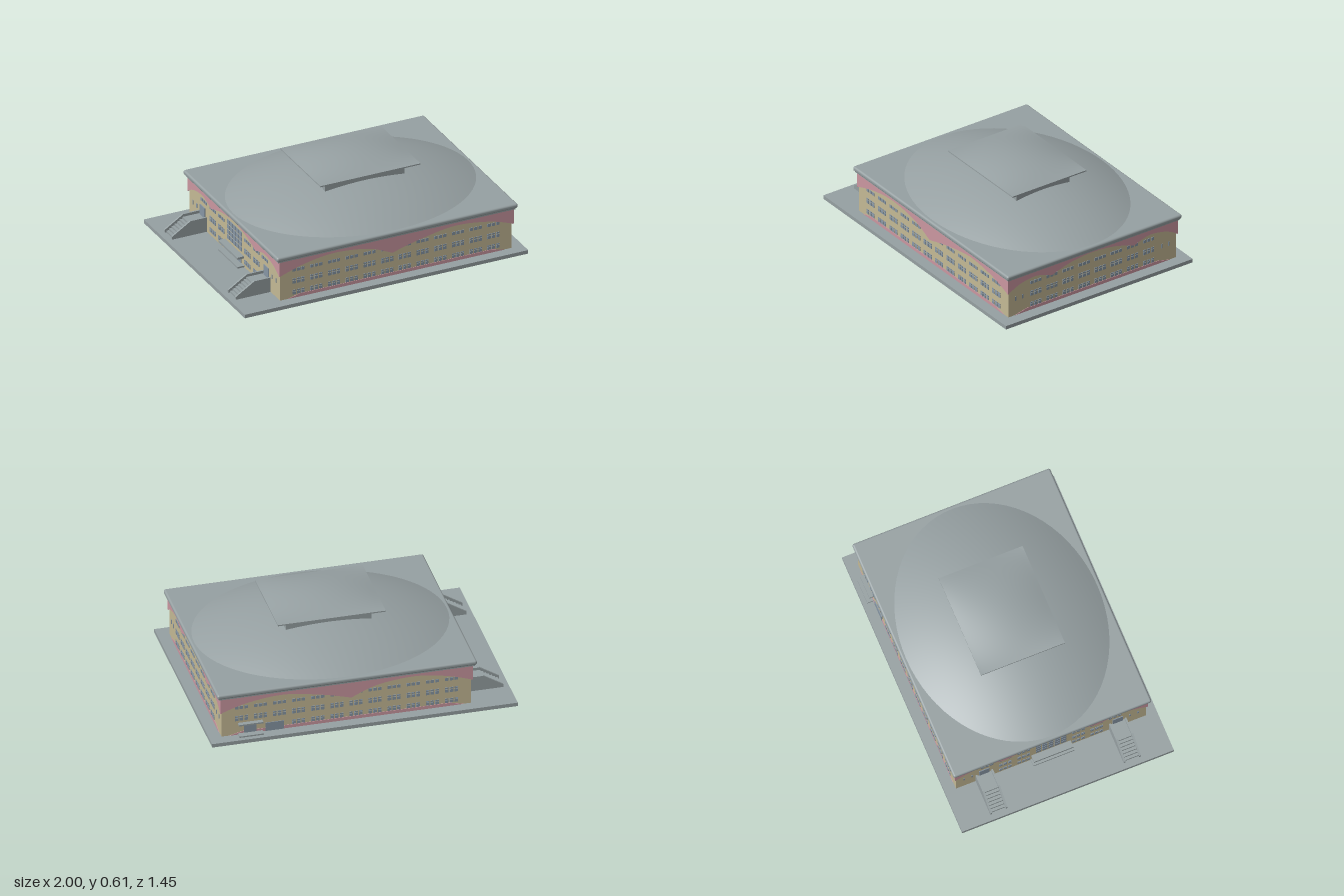
import * as THREE from 'three';
import { mergeGeometries } from 'three/addons/utils/BufferGeometryUtils.js';
import { RoundedBoxGeometry } from 'three/addons/geometries/RoundedBoxGeometry.js';

const CX = 0.1025; // building centre in x
const HX = 0.8175, HZ = 0.65; // half sizes of the walls
const GROUND = 0.025;

const material = (name, color) => {
  const m = new THREE.MeshStandardMaterial({ color });
  m.name = name;
  return m;
};

export function createModel() {
  const grey = material('grey', 0x96a0a2);
  const beige = material('beige', 0xc4b995);
  const pink = material('pink', 0xcb97a1);
  const glass = material('glass', 0x8796a4);

  const model = new THREE.Group();
  model.name = 'domedHall';

  const add = (parent, name, geometry, mat) => {
    const mesh = new THREE.Mesh(geometry, mat);
    mesh.name = name;
    parent.add(mesh);
    return mesh;
  };
  // Box given by its limits
  const box = (parent, name, mat, x0, x1, y0, y1, z0, z1) => {
    const g = new THREE.BoxGeometry(x1 - x0, y1 - y0, z1 - z0);
    g.translate((x0 + x1) / 2, (y0 + y1) / 2, (z0 + z1) / 2);
    return add(parent, name, g, mat);
  };

  // Ground slab and walls
  box(model, 'groundSlab', grey, -1, 1, 0, GROUND, -0.725, 0.725);
  box(model, 'walls', beige, CX - HX, CX + HX, GROUND, 0.305, -HZ, HZ);

  // Cornice and roof slab with rounded edge
  box(model, 'cornice', grey, -0.735, 0.94, 0.303, 0.316, -0.665, 0.665);
  const slab = add(model, 'roofSlab', new RoundedBoxGeometry(1.7, 0.032, 1.355, 3, 0.013), grey);
  slab.position.set(CX, 0.329, 0);

  // Shallow elliptical dome
  const profile = [];
  for (let i = 0; i <= 20; i++) {
    const r = 1 - i / 20;
    profile.push(new THREE.Vector2(r, 0.342 + 0.163 * (1 - r * r)));
  }
  const domeGeometry = new THREE.LatheGeometry(profile, 72);
  domeGeometry.scale(0.835, 1, 0.66);
  add(model, 'dome', domeGeometry, grey).position.x = CX;

  // Lantern on the dome with a gently bulging roof
  box(model, 'lantern', grey, CX - 0.28, CX + 0.28, 0.46, 0.56, -0.205, 0.205);
  box(model, 'lanternEaves', grey, CX - 0.353, CX + 0.353, 0.557, 0.565, -0.287, 0.287);
  const cap = new THREE.PlaneGeometry(0.706, 0.574, 20, 20);
  cap.rotateX(-Math.PI / 2);
  const p = cap.attributes.position;
  for (let i = 0; i < p.count; i++) {
    const u = p.getX(i) / 0.353, v = p.getZ(i) / 0.287;
    p.setY(i, 0.565 + 0.045 * (1 - u * u) * (1 - v * v));
  }
  cap.computeVertexNormals();
  add(model, 'lanternRoof', cap, grey).position.x = CX;

  // Wavy frieze lobes: lower edge points from left to right
  const longLobes = [
    [[-0.8275, 0.2], [-0.65, 0.255], [-0.44, 0.284], [-0.2, 0.258], [-0.03, 0.19]],
    [[-0.03, 0.19], [0.16, 0.24], [0.41, 0.28], [0.65, 0.255], [0.8275, 0.2]],
  ];
  const shortLobes = [
    [[-0.66, 0.2], [-0.57, 0.245], [-0.46, 0.265], [-0.39, 0.254], [-0.32, 0.228]],
    [[-0.32, 0.228], [-0.17, 0.273], [0, 0.29], [0.17, 0.273], [0.32, 0.228]],
    [[0.32, 0.228], [0.39, 0.254], [0.46, 0.265], [0.57, 0.245], [0.66, 0.2]],
  ];
  const mirrored = lobes => lobes.map(l => l.map(([u, y]) => [-u, y]).reverse()).reverse();

  const frieze = lobes => {
    const first = lobes[0][0], last = lobes[lobes.length - 1][4];
    const s = new THREE.Shape();
    s.moveTo(last[0], 0.304);
    s.lineTo(first[0], 0.304);
    s.lineTo(first[0], first[1]);
    for (const lobe of lobes) s.splineThru(lobe.slice(1).map(q => new THREE.Vector2(...q)));
    s.closePath();
    return new THREE.ExtrudeGeometry(s, { depth: 0.01, bevelEnabled: false, curveSegments: 24 });
  };

  // Window rows as [bottom, top] of the panes and of their transom lights
  const rows = [
    [[0.05, 0.069], [0.073, 0.081]],
    [[0.127, 0.147], [0.152, 0.162]],
    [[0.213, 0.234]],
  ];
  const pane = (u, w, y0, y1) =>
    new THREE.BoxGeometry(w, y1 - y0, 0.006).translate(u, (y0 + y1) / 2, 0.001);

  // One wall: frieze, sloped plinth band and window groups
  const facade = (name, half, lobes, groups, angle, x, z, skip = () => false, plinth = true) => {
    const f = new THREE.Group();
    f.name = name;
    f.position.set(x, 0, z);
    f.rotation.y = angle;
    model.add(f);
    add(f, 'waveFrieze', frieze(lobes), pink);
    if (plinth) {
      const s = new THREE.Shape();
      s.moveTo(-half + 0.05, GROUND);
      s.lineTo(half - 0.05, GROUND);
      s.lineTo(half - 0.14, 0.047);
      s.lineTo(-half + 0.14, 0.047);
      add(f, 'plinthBand', new THREE.ExtrudeGeometry(s, { depth: 0.003, bevelEnabled: false }), pink);
    }
    const panes = [];
    rows.forEach((row, r) => {
      for (let g = 0; g < groups; g++) {
        const centre = (g - (groups - 1) / 2) * 0.125;
        if (skip(centre, r)) continue;
        for (const [y0, y1] of row)
          for (const k of [-1, 0, 1]) panes.push(pane(centre + k * 0.031, 0.023, y0, y1));
      }
    });
    // Narrow end windows of the middle floor on the short walls
    if (half < 0.7)
      for (const u of [-0.595, -0.54, 0.54, 0.595]) panes.push(pane(u, 0.01, 0.13, 0.16));
    add(f, 'windows', mergeGeometries(panes), glass);
    return f;
  };

  facade('frontWall', HX, longLobes, 12, 0, CX, HZ);
  facade('leftWall', HZ, shortLobes, 8, Math.PI / 2, CX + HX, 0);
  const back = facade('backWall', HX, mirrored(longLobes), 12, Math.PI, CX, -HZ,
    (u, r) => r === 0 && u < -0.4);
  const entrance = facade('entranceWall', HZ, shortLobes, 8, -Math.PI / 2, CX - HX, 0,
    (u, r) => Math.abs(u) < 0.15 || (r < 2 && Math.abs(u) > 0.42), false);

  // Back service door, canopy and step
  box(back, 'serviceGate', glass, -0.53, -0.41, GROUND, 0.085, 0, 0.005);
  box(back, 'serviceDoor', glass, -0.67, -0.59, GROUND, 0.085, 0, 0.005);
  box(back, 'serviceCanopy', grey, -0.71, -0.55, 0.1, 0.11, 0, 0.03);
  box(back, 'serviceStep', grey, -0.71, -0.55, GROUND, 0.034, 0, 0.045);

  // Main entrance: tall glazing grid, doors, canopy and step
  const glazing = [];
  for (let c = -2; c <= 2; c++)
    for (let r = 0; r < 4; r++)
      glazing.push(pane(c * 0.043, 0.035, 0.12 + r * 0.036, 0.149 + r * 0.036));
  add(entrance, 'tallGlazing', mergeGeometries(glazing), glass);
  for (const u of [-0.07, 0, 0.07])
    box(entrance, 'entranceDoor', glass, u - 0.028, u + 0.028, 0.035, 0.08, 0, 0.005);
  box(entrance, 'entranceCanopy', grey, -0.135, 0.135, 0.085, 0.1, 0, 0.048);
  box(entrance, 'entranceStep', grey, -0.14, 0.14, GROUND, 0.036, 0, 0.048);

  // Two outer stairs between sloping side walls
  const side = new THREE.Shape();
  side.moveTo(-0.96, GROUND);
  side.lineTo(-0.71, GROUND);
  side.lineTo(-0.71, 0.127);
  side.lineTo(-0.83, 0.127);
  side.lineTo(-0.96, 0.045);
  for (const s of [-1, 1]) {
    const stair = new THREE.Group();
    stair.name = 'outerStair';
    stair.position.z = s * 0.457;
    model.add(stair);
    for (const t of [-1, 1]) {
      const g = new THREE.ExtrudeGeometry(side, { depth: 0.012, bevelEnabled: false });
      g.translate(0, 0, t * 0.053 - 0.006);
      add(stair, 'stairSideWall', g, grey);
    }
    const steps = 7;
    for (let i = 0; i < steps; i++) {
      const x0 = -0.95 + i * 0.019;
      box(stair, 'stairStep', grey, x0, i === steps - 1 ? -0.71 : x0 + 0.019,
        GROUND, GROUND + 0.012 * (i + 1), -0.05, 0.05);
    }
    box(stair, 'stairDoor', glass, -0.72, -0.71, 0.109, 0.18, -0.035, 0.035);
  }

  return model;
}
